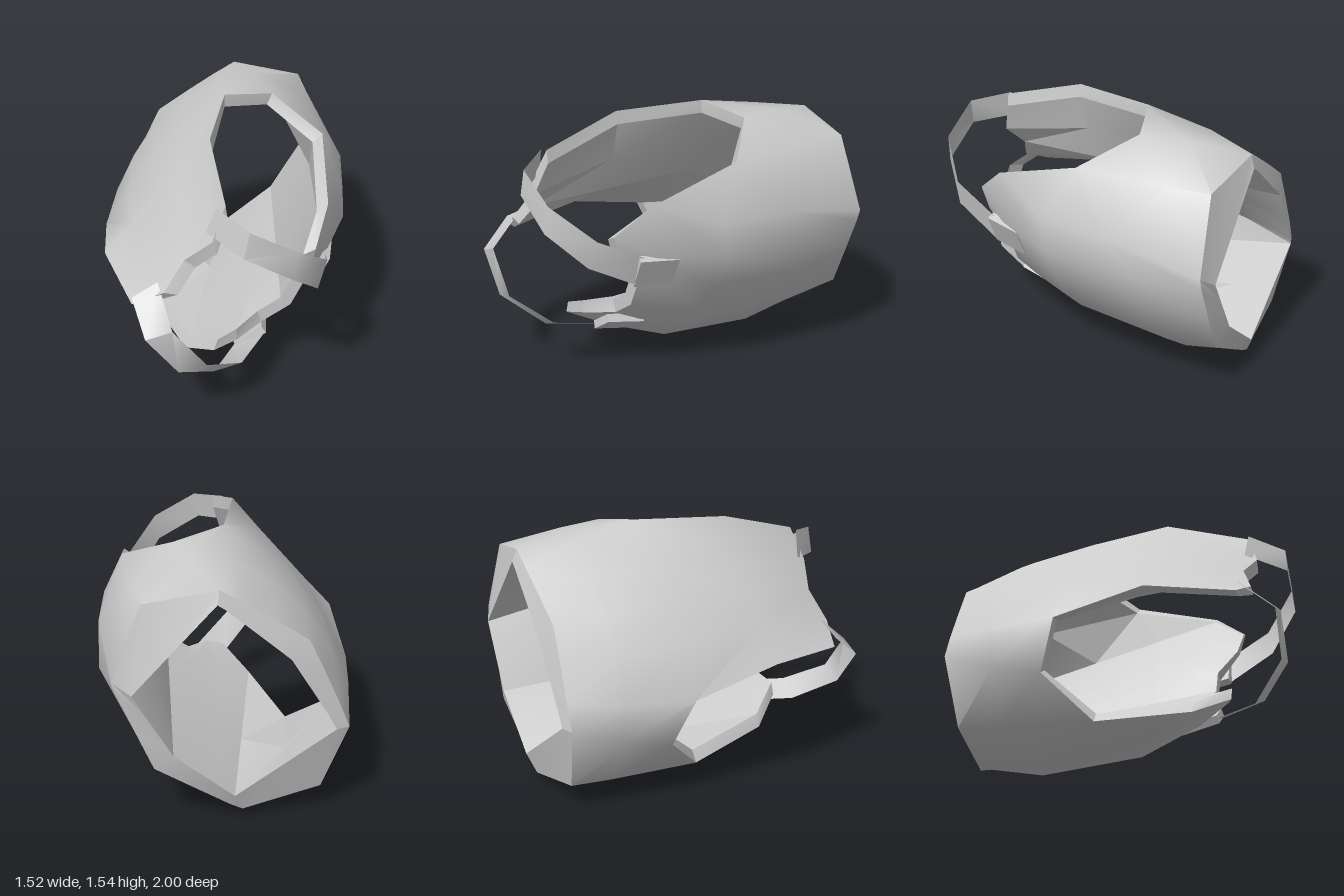
import * as THREE from 'three';
import { toCreasedNormals } from 'three/addons/utils/BufferGeometryUtils.js';

const RIM = 0.08;
const lerp = THREE.MathUtils.lerp;
const mix = (p, q, t) => p.map((v, i) => lerp(v, q[i], t));

// One column of the shell from waist to top, points as [across, toward back, z].
// From row `rim` up it borders an opening; below, the lining runs straight to the waist lip.
function column(lip, rim, outer) {
  const inset = ([x, y, z]) => {
    const k = 1 - RIM / Math.hypot(x, y);
    return [x * k, y * k, z];
  };
  const top = inset(outer[rim]);
  const span = outer[rim][2] - outer[0][2];
  return outer.map((p, j) => ({
    outer: p,
    inner: j >= rim ? inset(p) : mix(lip, top, (p[2] - outer[0][2]) / span),
  }));
}

// A column whose lining lies flat between two neighbours, up to its rim at the top row
function columnBetween(a, b, t, outer) {
  return column(mix(a[0].inner, b[0].inner, t), 4, outer).map((node, j) => ({
    outer: node.outer,
    inner: j < 4 ? mix(a[j].inner, b[j].inner, t) : node.inner,
  }));
}

const backMid = column([0, 0.36, -1], 4,
  [[0, 0.5, -0.95], [0, 0.555, -0.65], [0, 0.58, -0.25], [0, 0.58, 0.28], [0, 0.41, 0.78]]);
const backArm = column([0.47, 0.285, -0.987], 2,
  [[0.42, 0.38, -0.96], [0.52, 0.45, -0.65], [0.58, 0.497, -0.25], [0.486, 0.585, 0.28], [0.41, 0.457, 0.78]]);
const backNeck = columnBetween(backMid, backArm, 0.48,
  [[0.22, 0.44, -0.955], [0.25, 0.525, -0.65], [0.26, 0.56, -0.25], [0.22, 0.58, 0.28], [0.21, 0.39, 0.84]]);
const sideBack = column([0.52, 0.27, -0.985], 2,
  [[0.57, 0.33, -0.96], [0.69, 0.28, -0.64], [0.735, 0.234, -0.35]]);
const sideFront = column([0.48, -0.08, -0.985], 2,
  [[0.78, -0.04, -0.91], [0.79, -0.06, -0.65], [0.8, -0.077, -0.09]]);
const chestArm = column([0.44, -0.42, -0.985], 3,
  [[0.56, -0.455, -0.94], [0.674, -0.404, -0.36], [0.64, -0.36, 0.08], [0.647, -0.157, 0.45], [0.45, -0.2, 0.65]]);
const chestMid = column([0, -0.5, -0.985], 4,
  [[0, -0.64, -0.95], [0, -0.653, -0.55], [0, -0.58, 0.08], [0, -0.51, 0.3], [0, -0.44, 0.48]]);
const chestSide = columnBetween(chestMid, chestArm, 0.67,
  [[0.49, -0.485, -0.94], [0.53, -0.545, -0.57], [0.5, -0.5, 0.06], [0.42, -0.37, 0.43], [0.33, -0.28, 0.61]]);
const chestNeck = columnBetween(chestMid, chestArm, 0.33,
  [[0.24, -0.565, -0.945], [0.27, -0.605, -0.55], [0.25, -0.555, 0.07], [0.22, -0.46, 0.33], [0.2, -0.385, 0.48]]);
// The armhole edge closes onto the chest column as a triangle
const armEdge = [...sideFront, sideFront[2], chestArm[3]];

const panels = [
  [backMid, backNeck, backArm],
  [backArm.slice(0, 3), sideBack, sideFront],
  [armEdge, chestArm, chestSide, chestNeck, chestMid],
];

// Joins both mirrored halves, then adds the lining and the rims of all openings
function shellGeometry() {
  const points = [], inner = [], index = new Map(), tris = [];
  const id = (node, side) => {
    const mirror = ([x, y, z]) => [x === 0 ? 0 : x * side, y, z];
    const p = mirror(node.outer), key = p.join();
    if (!index.has(key)) {
      index.set(key, points.length);
      points.push(p);
      inner.push(mirror(node.inner));
    }
    return index.get(key);
  };
  const addTri = (a, b, c, side) => {
    if (a === b || b === c || a === c) return;
    tris.push(side > 0 ? [a, b, c] : [a, c, b]);
  };
  for (const side of [1, -1]) {
    for (const cols of panels) {
      for (let i = 0; i < cols.length - 1; i++) {
        for (let j = 0; j < cols[i].length - 1; j++) {
          const a = id(cols[i][j], side), b = id(cols[i][j + 1], side);
          const c = id(cols[i + 1][j + 1], side), d = id(cols[i + 1][j], side);
          addTri(a, b, d, side);
          addTri(b, c, d, side);
        }
      }
    }
  }

  const skin = [], lining = [], rims = [];
  const edges = new Set();
  for (const [a, b, c] of tris) {
    skin.push(...points[a], ...points[b], ...points[c]);
    lining.push(...inner[a], ...inner[c], ...inner[b]);
    for (const [p, q] of [[a, b], [b, c], [c, a]]) edges.add(`${p},${q}`);
  }
  // Rims along every open edge
  for (const edge of edges) {
    const [p, q] = edge.split(',').map(Number);
    if (edges.has(`${q},${p}`)) continue;
    rims.push(...points[q], ...points[p], ...inner[p]);
    rims.push(...points[q], ...inner[p], ...inner[q]);
  }
  return { skin: creased(skin, 0.9), lining: creased(lining, 0.3), rims: creased(rims, 0.3) };
}

function creased(positions, angle) {
  const geo = new THREE.BufferGeometry();
  geo.setAttribute('position', new THREE.Float32BufferAttribute(positions, 3));
  return toCreasedNormals(geo, angle);
}

// Strap edges in pairs: outer edge, neck edge
const strapPairs = [
  [[0.37, 0.49, 0.79], [0.21, 0.43, 0.77]],
  [[0.445, 0.34, 0.99], [0.304, 0.26, 1]],
  [[0.51, 0.046, 0.985], [0.365, -0.043, 1]],
  [[0.493, -0.223, 0.79], [0.33, -0.295, 0.82]],
  [[0.405, -0.35, 0.5], [0.244, -0.423, 0.54]],
];

function strapGeometry(side) {
  const out = [];
  const at = ([x, y, z]) => [x * side, y, z];
  for (let i = 0; i < strapPairs.length - 1; i++) {
    const [a, b] = strapPairs[i].map(at), [d, c] = strapPairs[i + 1].map(at);
    const quad = side > 0 ? [a, b, d, b, c, d] : [a, d, b, b, d, c];
    out.push(...quad.flat());
  }
  return creased(out, 0.9);
}

// Buckle block lying on the chest, slanted with its surface
function buckleGeometry(side) {
  const across = new THREE.Vector3(0.958 * side, 0.28, 0).normalize();
  const along = new THREE.Vector3(0.06 * side, -0.21, -0.97).normalize();
  const out = new THREE.Vector3().crossVectors(along, across).normalize();
  along.crossVectors(across, out);
  const m = new THREE.Matrix4().makeBasis(across, out, along);
  m.setPosition(0.316 * side, -0.4, 0.42);
  return new THREE.BoxGeometry(0.2, 0.05, 0.24).applyMatrix4(m);
}

export function createModel() {
  const grey = new THREE.MeshStandardMaterial({ color: 0xcccccc });
  const thin = new THREE.MeshStandardMaterial({ color: 0xcccccc, side: THREE.DoubleSide });
  const armour = new THREE.Group();
  armour.name = 'breastplate';
  const add = (name, geo, mat) => {
    const mesh = new THREE.Mesh(geo, mat);
    mesh.name = name;
    armour.add(mesh);
  };

  const shell = shellGeometry();
  add('torsoPlate', shell.skin, grey);
  add('lining', shell.lining, grey);
  add('openingRims', shell.rims, grey);
  for (const side of [1, -1]) {
    const label = side > 0 ? 'upper' : 'lower';
    add(`${label}ShoulderStrap`, strapGeometry(side), thin);
    add(`${label}Buckle`, buckleGeometry(side), grey);
  }

  // The piece lies rolled about its long axis
  armour.rotation.z = 0.863;
  armour.position.y = 0.77;
  const model = new THREE.Group();
  model.name = 'model';
  model.add(armour);
  return model;
}
